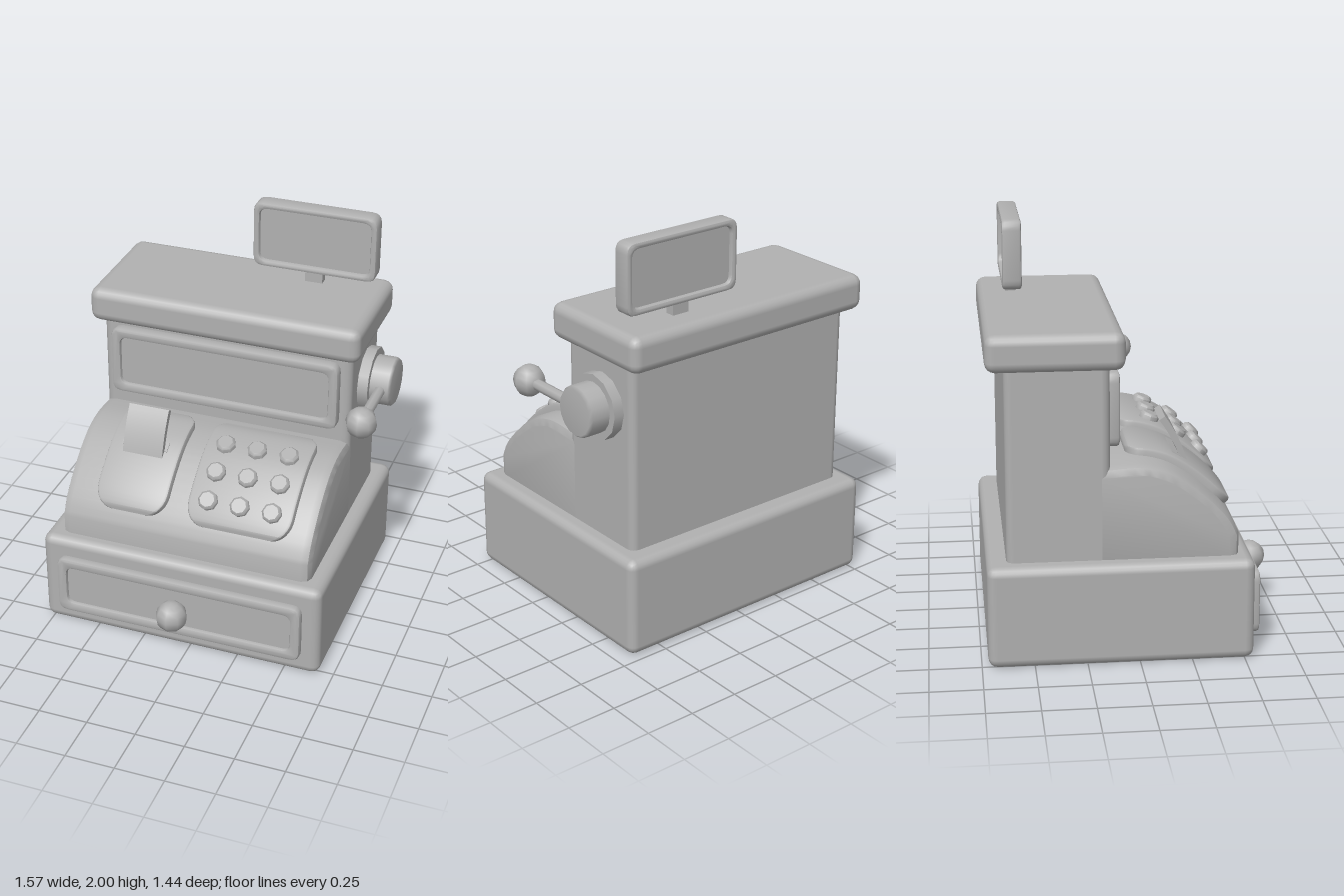
import * as THREE from 'three';
import { toCreasedNormals } from 'three/addons/utils/BufferGeometryUtils.js';
import { RoundedBoxGeometry } from 'three/addons/geometries/RoundedBoxGeometry.js';

const CX = -0.053; // centre line of the cabinet
const grey = new THREE.MeshStandardMaterial({ color: 0xb0b0b0 });
grey.name = 'grey';

function add(parent, name, geometry, x = 0, y = 0, z = 0) {
  const mesh = new THREE.Mesh(geometry, grey);
  mesh.name = name;
  mesh.position.set(x, y, z);
  parent.add(mesh);
  return mesh;
}

function roundRect(w, h, r, Type = THREE.Shape) {
  const s = new Type(), x = w / 2, y = h / 2;
  s.moveTo(-x + r, -y);
  s.lineTo(x - r, -y);
  s.quadraticCurveTo(x, -y, x, -y + r);
  s.lineTo(x, y - r);
  s.quadraticCurveTo(x, y, x - r, y);
  s.lineTo(-x + r, y);
  s.quadraticCurveTo(-x, y, -x, y - r);
  s.lineTo(-x, -y + r);
  s.quadraticCurveTo(-x, -y, -x + r, -y);
  return s;
}

// Bevelled frame, centred on its depth, around a recessed plate
function framedPanel(name, w, h, d, border, plateDepth) {
  const group = new THREE.Group(), b = 0.014;
  group.name = name;
  const shape = roundRect(w, h, 0.05);
  shape.holes.push(roundRect(w - 2 * border, h - 2 * border, 0.04, THREE.Path));
  const frame = new THREE.ExtrudeGeometry(shape, {
    depth: d - 2 * b, bevelThickness: b, bevelSize: b, bevelOffset: -b, bevelSegments: 2, curveSegments: 4,
  });
  frame.translate(0, 0, -d / 2 + b);
  add(group, name + 'Frame', toCreasedNormals(frame, 0.7));
  add(group, name + 'Plate', new THREE.BoxGeometry(w - border, h - border, plateDepth));
  return group;
}

// Sloping front of the hood, as (z, y), from bottom to top
const slope = new THREE.SplineCurve([
  [0.477, 0.6], [0.43, 0.69], [0.32, 0.805], [0.19, 0.9], [0.09, 0.942], [-0.02, 0.957], [-0.18, 0.945],
].map(([z, y]) => new THREE.Vector2(z, y)));

// Point on the slope at a given z, with its outward normal
function onSlope(z) {
  let lo = 0, hi = 1;
  for (let i = 0; i < 30; i++) {
    const mid = (lo + hi) / 2;
    if (slope.getPoint(mid).x > z) lo = mid; else hi = mid;
  }
  const p = slope.getPoint(lo), t = slope.getTangent(lo);
  return { z: p.x, y: p.y, nz: t.y, ny: -t.x };
}

// Rounded pad that follows the slope, lofted from cross-sections
function slopePad(x0, x1) {
  const zA = 0.44, zB = -0.045, r = 0.09, h = 0.037, b = 0.014;
  const cx = (x0 + x1) / 2, half = (x1 - x0) / 2, rows = 28;
  const pos = [], index = [];
  for (let i = 0; i <= rows; i++) {
    const k = (1 - Math.cos((Math.PI * i) / rows)) / 2;
    const s = onSlope(zA + (zB - zA) * k);
    const edge = Math.min(k, 1 - k) * 0.6;
    const q = Math.max(0, 1 - edge / r);
    const w = half - r * (1 - Math.sqrt(1 - q * q));
    const top = h - b * Math.max(0, 1 - edge / b);
    const section = [[-w, -0.02], [-w, top - b], [-w + 0.3 * b, top - 0.3 * b], [-w + b, top],
      [w - b, top], [w - 0.3 * b, top - 0.3 * b], [w, top - b], [w, -0.02]];
    for (const [x, up] of section) pos.push(cx + x, s.y + s.ny * up, s.z + s.nz * up);
  }
  for (let i = 0; i < rows; i++) {
    for (let j = 0; j < 7; j++) {
      const a = i * 8 + j, c = a + 8;
      index.push(a, a + 1, c, a + 1, c + 1, c);
    }
  }
  // End walls
  const last = rows * 8;
  for (let j = 1; j < 7; j++) index.push(0, j + 1, j, last, last + j, last + j + 1);
  const g = new THREE.BufferGeometry();
  g.setAttribute('position', new THREE.Float32BufferAttribute(pos, 3));
  g.setIndex(index);
  return toCreasedNormals(g, 0.7);
}

// Profile in (z, y) extruded along x and centred on cx
function sideExtrude(shape, width, bevel, cx) {
  const g = new THREE.ExtrudeGeometry(shape, {
    depth: width - 2 * bevel, bevelEnabled: bevel > 0, bevelThickness: bevel, bevelSize: bevel,
    bevelOffset: -bevel, bevelSegments: 2, curveSegments: 8,
  });
  g.translate(0, 0, -width / 2 + bevel);
  g.rotateY(-Math.PI / 2);
  g.translate(cx, 0, 0);
  return toCreasedNormals(g, 0.6);
}

export function createModel() {
  const model = new THREE.Group();
  model.name = 'cashRegister';

  // Cabinet
  add(model, 'base', new RoundedBoxGeometry(1.47, 0.5, 1.265, 2, 0.045), CX, 0.25, -0.0875);
  add(model, 'column', new RoundedBoxGeometry(1.31, 1.1, 0.49, 2, 0.04), CX, 0.95, -0.38);
  add(model, 'roof', new RoundedBoxGeometry(1.41, 0.18, 0.645, 2, 0.05), CX, 1.51, -0.3875);
  const hood = new THREE.Shape([
    new THREE.Vector2(-0.22, 0.44), new THREE.Vector2(0.477, 0.44), ...slope.getPoints(18),
    new THREE.Vector2(-0.22, 0.94),
  ]);
  add(model, 'hood', sideExtrude(hood, 1.31, 0.045, CX));

  // Drawer
  const drawer = framedPanel('drawer', 1.29, 0.315, 0.06, 0.052, 0.02);
  drawer.position.set(CX, 0.2475, 0.553);
  model.add(drawer);
  add(model, 'drawerKnob', new THREE.SphereGeometry(0.08, 8, 8), CX, 0.25, 0.64);

  // Front window
  const front = framedPanel('frontWindow', 1.2, 0.36, 0.07, 0.05, 0.03);
  front.position.set(CX, 1.21, -0.12);
  model.add(front);

  // Raised price sign
  const sign = framedPanel('priceSign', 0.64, 0.345, 0.095, 0.033, 0.05);
  sign.position.set(0.28, 1.8275, -0.5475);
  model.add(sign);
  add(model, 'signPost', new THREE.BoxGeometry(0.09, 0.1, 0.05), 0.277, 1.63, -0.5475);

  // Pads and keys
  add(model, 'receiptPad', slopePad(-0.535, -0.16));
  add(model, 'keyPad', slopePad(-0.055, 0.485));
  for (const z of [0.12, 0.248, 0.358]) {
    const s = onSlope(z);
    for (const x of [0.05, 0.214, 0.379]) {
      const key = add(model, 'key', toCreasedNormals(new THREE.LatheGeometry([
        [0.05, -0.02], [0.05, 0.022], [0.038, 0.034], [0, 0.034],
      ].map(([r, y]) => new THREE.Vector2(r, y)), 8), 0.8), x, s.y + s.ny * 0.035, s.z + s.nz * 0.035);
      key.rotation.x = Math.atan2(s.nz, s.ny);
    }
  }

  // Receipt and its slot
  const paper = new THREE.Shape();
  paper.moveTo(0.265, 0.87);
  paper.quadraticCurveTo(0.225, 1.02, 0.15, 1.12);
  paper.lineTo(0.122, 1.102);
  paper.quadraticCurveTo(0.2, 1.0, 0.235, 0.87);
  add(model, 'receipt', sideExtrude(paper, 0.21, 0, -0.35));
  const s = onSlope(0.185);
  const slot = add(model, 'receiptSlot', new THREE.BoxGeometry(0.24, 0.009, 0.05),
    -0.35, s.y + s.ny * 0.036, s.z + s.nz * 0.036);
  slot.rotation.x = Math.atan2(s.nz, s.ny);

  // Side lever
  const lever = new THREE.Group();
  lever.name = 'lever';
  lever.position.set(0.6, 1.182, -0.405);
  model.add(lever);
  add(lever, 'leverFlange', new THREE.CylinderGeometry(0.162, 0.162, 0.07, 12).rotateZ(Math.PI / 2), 0.02);
  add(lever, 'leverHub', new THREE.LatheGeometry([
    [0.125, 0], [0.125, 0.148], [0.113, 0.163], [0, 0.163],
  ].map(([r, y]) => new THREE.Vector2(r, y)), 16).rotateZ(-Math.PI / 2));
  add(lever, 'leverArm', new THREE.CylinderGeometry(0.028, 0.028, 0.36, 8).rotateX(Math.PI / 2), 0.107, 0, 0.25);
  add(lever, 'leverKnob', new THREE.SphereGeometry(0.079, 8, 8), 0.107, 0, 0.44);

  return model;
}
